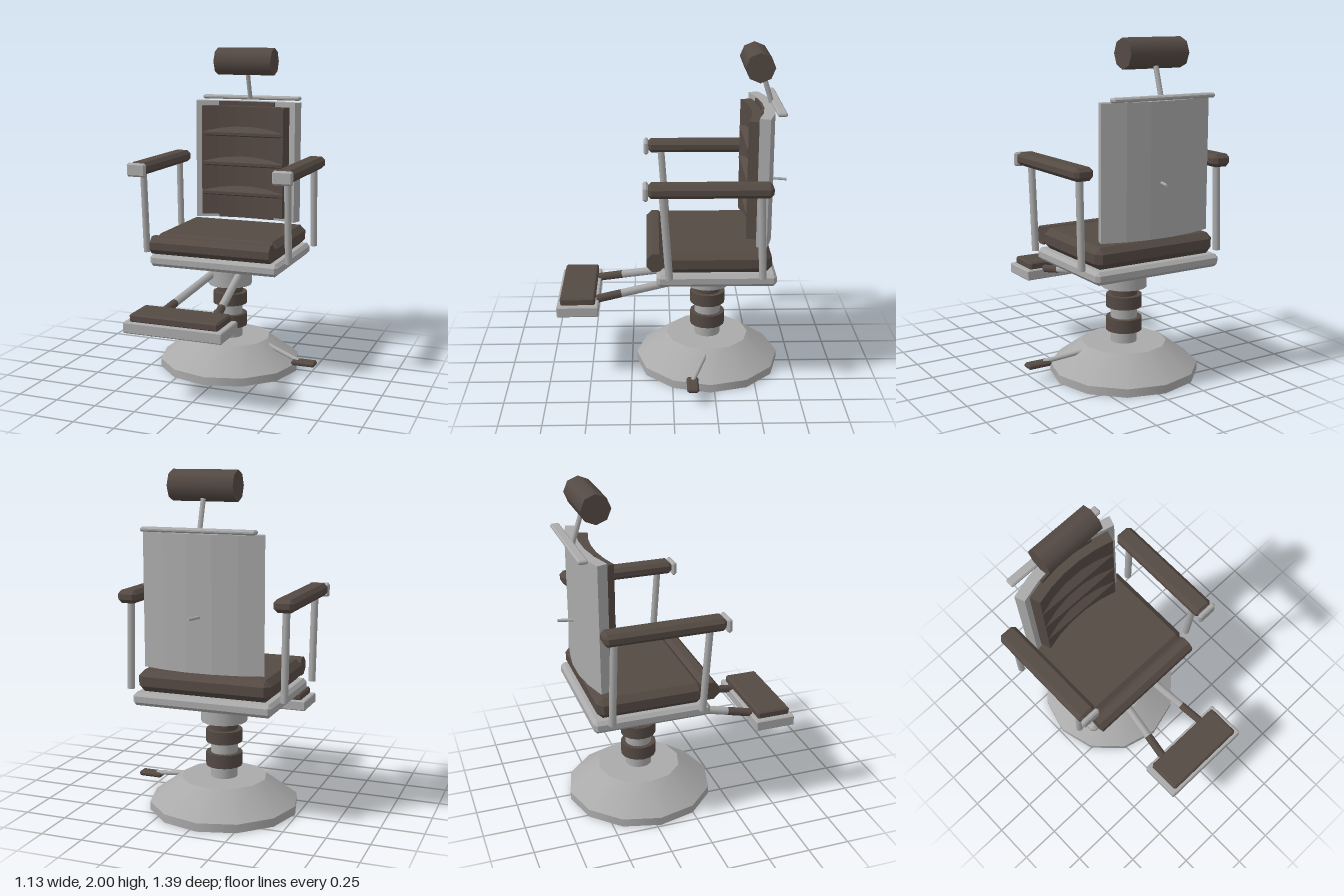
import * as THREE from 'three';
import { ConvexGeometry } from 'three/addons/geometries/ConvexGeometry.js';

const metal = new THREE.MeshStandardMaterial({ color: 0xaaaaaa });
metal.name = 'brushedMetal';
const leather = new THREE.MeshStandardMaterial({ color: 0x554a44 });
leather.name = 'brownLeather';

const MID = -0.0425; // the chair's own centre line
const PIVOT = -0.225; // column axis in z

export function createModel() {
  const model = new THREE.Group();
  model.name = 'reclinerChair';

  const add = (name, geometry, material, x = 0, y = 0, z = 0) => {
    const mesh = new THREE.Mesh(geometry, material);
    mesh.name = name;
    mesh.position.set(x, y, z);
    model.add(mesh);
    return mesh;
  };

  // Box with chamfered edges, given by its min and max on each axis
  const block = (name, material, [x0, x1], [y0, y1], [z0, z1], c) => {
    const hx = (x1 - x0) / 2, hy = (y1 - y0) / 2, hz = (z1 - z0) / 2;
    const pts = [];
    for (const a of [-1, 1]) for (const b of [-1, 1]) for (const d of [-1, 1]) {
      pts.push(
        new THREE.Vector3(a * hx, b * (hy - c), d * (hz - c)),
        new THREE.Vector3(a * (hx - c), b * hy, d * (hz - c)),
        new THREE.Vector3(a * (hx - c), b * (hy - c), d * hz));
    }
    return add(name, new ConvexGeometry(pts), material, (x0 + x1) / 2, (y0 + y1) / 2, (z0 + z1) / 2);
  };

  // Upright turned part on the column axis
  const disc = (name, material, rTop, rBottom, y0, y1, sides) =>
    add(name, new THREE.CylinderGeometry(rTop, rBottom, y1 - y0, sides), material, MID, (y0 + y1) / 2, PIVOT);

  // Round bar between two points
  const rod = (name, material, from, to, r, sides = 8) => {
    const a = new THREE.Vector3(...from), b = new THREE.Vector3(...to);
    const dir = b.clone().sub(a);
    const mesh = add(name, new THREE.CylinderGeometry(r, r, dir.length(), sides), material);
    mesh.position.copy(a).add(b).multiplyScalar(0.5);
    mesh.quaternion.setFromUnitVectors(new THREE.Vector3(0, 1, 0), dir.normalize());
    return mesh;
  };

  // Upright slab curved around the sitter, between two radii
  const curvedSlab = (name, material, rIn, rOut, angle, y0, y1, n) => {
    const pts = [];
    const point = (r, t) => pts.push(new THREE.Vector2(r * Math.sin(t), r * Math.cos(t) - 0.459));
    for (let i = 0; i <= n; i++) point(rOut, angle * (1 - 2 * i / n));
    for (let i = 0; i <= n; i++) point(rIn, angle * (2 * i / n - 1));
    const geo = new THREE.ExtrudeGeometry(new THREE.Shape(pts), { depth: y1 - y0, bevelEnabled: false });
    geo.rotateX(-Math.PI / 2);
    return add(name, geo, material, MID, y0, 0);
  };

  // Base and column
  disc('baseRim', metal, 0.445, 0.445, 0, 0.05, 12);
  disc('baseCone', metal, 0.255, 0.445, 0.05, 0.19, 12);
  disc('column', metal, 0.08, 0.08, 0.19, 0.41, 16);
  disc('upperColumn', leather, 0.08, 0.08, 0.41, 0.53, 16);
  disc('lowerRing', leather, 0.108, 0.108, 0.26, 0.34, 16);
  disc('upperRing', leather, 0.108, 0.108, 0.405, 0.48, 16);
  disc('swivelCollar', metal, 0.137, 0.137, 0.53, 0.64, 16);
  disc('swivelNeck', metal, 0.12, 0.12, 0.64, 0.68, 16);

  // Pump lever
  rod('pumpLever', metal, [0.2, 0.165, -0.21], [0.45, 0.108, -0.115], 0.014);
  block('pumpHandle', leather, [0.41, 0.56], [0.085, 0.116], [-0.15, -0.08], 0.01);

  // Seat
  block('seatPlate', metal, [-0.458, 0.373], [0.675, 0.75], [-0.605, 0.095], 0.02);
  block('seatCushion', leather, [-0.44, 0.355], [0.75, 0.875], [-0.577, 0.06], 0.035);
  const roll = new THREE.CylinderGeometry(0.058, 0.058, 0.765, 8, 1, false, Math.PI / 8).toNonIndexed();
  roll.computeVertexNormals();
  roll.rotateZ(Math.PI / 2);
  add('seatFrontRoll', roll, leather, MID, 0.818, 0.1);

  // Backrest: curved shell, inner lining and pad
  curvedSlab('backShell', metal, 1, 1.065, 0.342, 0.895, 1.66, 5);
  curvedSlab('backLining', leather, 0.985, 0.999, 0.19, 0.897, 1.658, 3);
  curvedSlab('backPad', leather, 0.93, 0.998, 0.3, 0.925, 1.63, 5);

  // Straight ribs across the hollow of the pad
  const ribShape = new THREE.Shape([
    [0.427, 0.025], [0.48, 0.07], [0.48, 0], [0.437, 0], [0.427, 0.007],
  ].map(([x, y]) => new THREE.Vector2(-x, y)).reverse());
  for (const y of [1.055, 1.247, 1.44]) {
    const geo = new THREE.ExtrudeGeometry(ribShape, { depth: 0.545, bevelEnabled: false });
    geo.translate(0, 0, -0.2725);
    geo.rotateY(-Math.PI / 2);
    add('backRib', geo, leather, MID, y, 0);
  }
  block('backTopBar', metal, [-0.375, 0.29], [1.667, 1.692], [-0.64, -0.585], 0.008);
  rod('reclineLever', metal, [-0.045, 1.21, -0.59], [-0.015, 1.21, -0.69], 0.009, 6);

  // Headrest
  rod('headrestStem', metal, [-0.0425, 1.9, -0.515], [-0.0425, 1.675, -0.587], 0.015);
  const head = new THREE.CylinderGeometry(0.086, 0.086, 0.38, 8);
  head.rotateZ(Math.PI / 2);
  add('headrest', head, leather, -0.04, 1.915, -0.497);

  // Armrests and footrest arms, mirrored about the centre line
  for (const s of [-1, 1]) {
    const x = MID + s * 0.4625;
    block('armrest', leather, [x - 0.059, x + 0.059], [1.25, 1.325], [-0.56, 0.145], 0.022);
    block('armrestCap', metal, [x - 0.062, x + 0.062], [1.24, 1.323], [0.14, 0.17], 0.01);
    rod('frontArmPost', metal, [x, 1.27, 0.06], [x, 0.75, 0.022], 0.022);
    rod('rearArmPost', metal, [x, 1.27, -0.493], [x, 0.75, -0.515], 0.022);

    rod('footrestArm', metal, [MID + s * 0.09, 0.6, -0.12], [MID + s * 0.148, 0.524, 0.31], 0.025);
    rod('footrestArmSleeve', leather, [MID + s * 0.148, 0.524, 0.31], [MID + s * 0.168, 0.497, 0.46], 0.0255);
  }

  // Footrest
  block('footrestPlate', metal, [-0.342, 0.257], [0.435, 0.5], [0.445, 0.695], 0.006);
  block('footrestPad', leather, [-0.31, 0.227], [0.495, 0.545], [0.465, 0.675], 0.01);

  return model;
}
